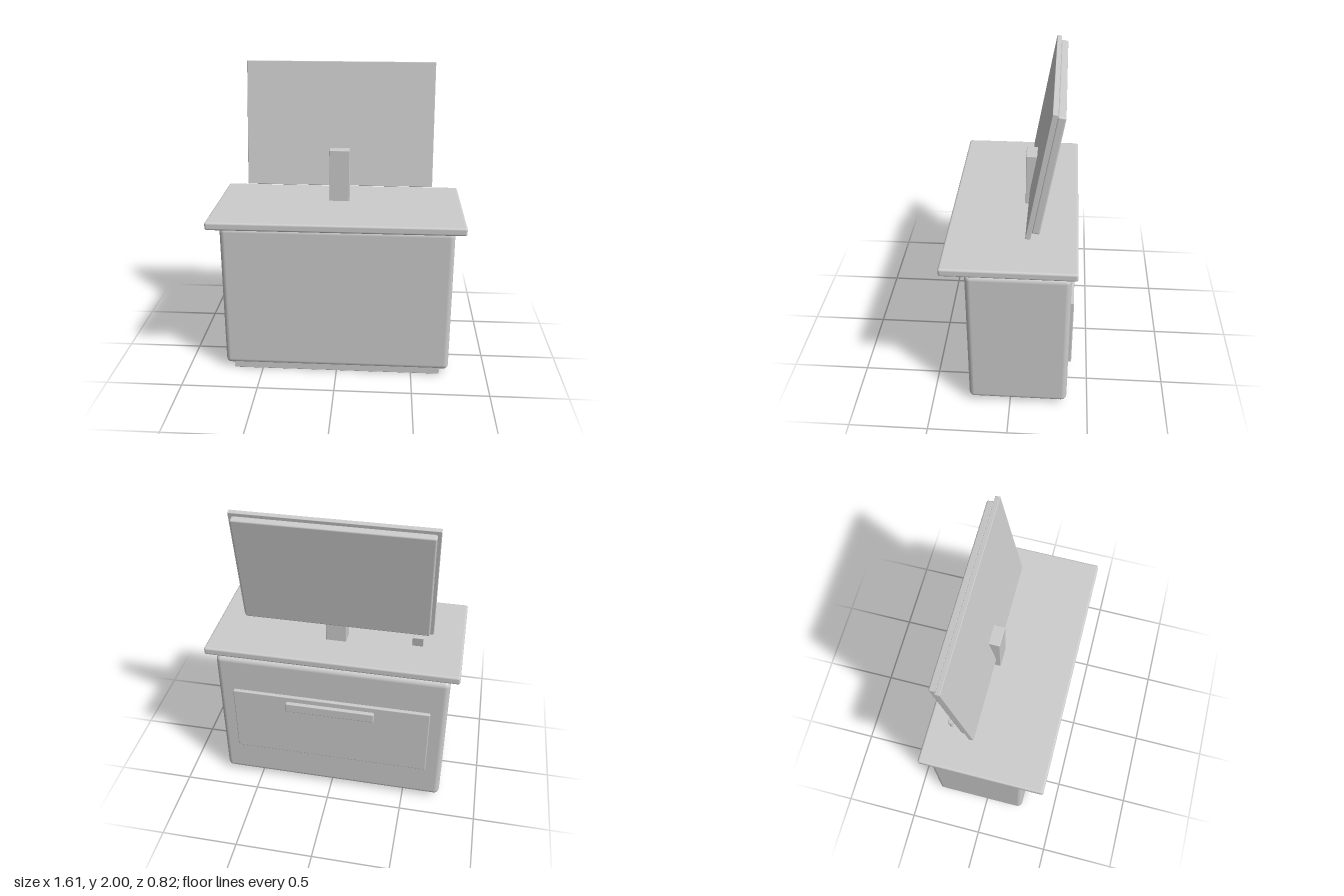
import * as THREE from 'three';
import { RoundedBoxGeometry } from 'three/addons/geometries/RoundedBoxGeometry.js';

export function createModel() {
  const model = new THREE.Group();
  model.name = 'deskWithScreen';
  const lightGrey = new THREE.MeshStandardMaterial({ color: 0xcccccc });
  lightGrey.name = 'lightGrey';

  // Rounded block given by size, centre and edge radius
  function block(parent, name, [w, h, d], [x, y, z], radius) {
    const mesh = new THREE.Mesh(new RoundedBoxGeometry(w, h, d, 3, radius), lightGrey);
    mesh.name = name;
    mesh.position.set(x, y, z);
    parent.add(mesh);
    return mesh;
  }

  // Counter: plinth, body and overhanging top
  block(model, 'plinth', [1.38, 0.055, 0.573], [0, 0.0275, -0.0285], 0.004);
  block(model, 'cabinet', [1.5, 0.988, 0.63], [0, 0.526, -0.05], 0.035);
  block(model, 'counterTop', [1.61, 0.052, 0.804], [0, 1.08, 0.003], 0.014);

  // Drawer front and handle on the back
  block(model, 'drawerFront', [1.29, 0.487, 0.03], [0, 0.526, -0.372], 0.006);
  block(model, 'drawerHandle', [0.578, 0.066, 0.03], [0, 0.7, -0.396], 0.006);

  // Stand post
  block(model, 'stand', [0.132, 0.35, 0.106], [0, 1.275, -0.111], 0.004);

  // Screen leaning back: front panel and rear housing
  const tilt = -THREE.MathUtils.degToRad(10);
  const screen = new THREE.Group();
  screen.name = 'screen';
  screen.position.set(0, 1.6, -0.17);
  screen.rotation.x = tilt;
  model.add(screen);
  block(screen, 'screenPanel', [1.222, 0.807, 0.031], [0, 0, 0], 0.003);
  block(screen, 'screenHousing', [1.178, 0.76, 0.048], [0, 0.006, -0.039], 0.01);

  // Small tab behind the lower edge of the screen
  const tab = block(model, 'rearTab', [0.066, 0.068, 0.02], [-0.525, 1.233, -0.243], 0.003);
  tab.rotation.x = tilt;

  return model;
}
